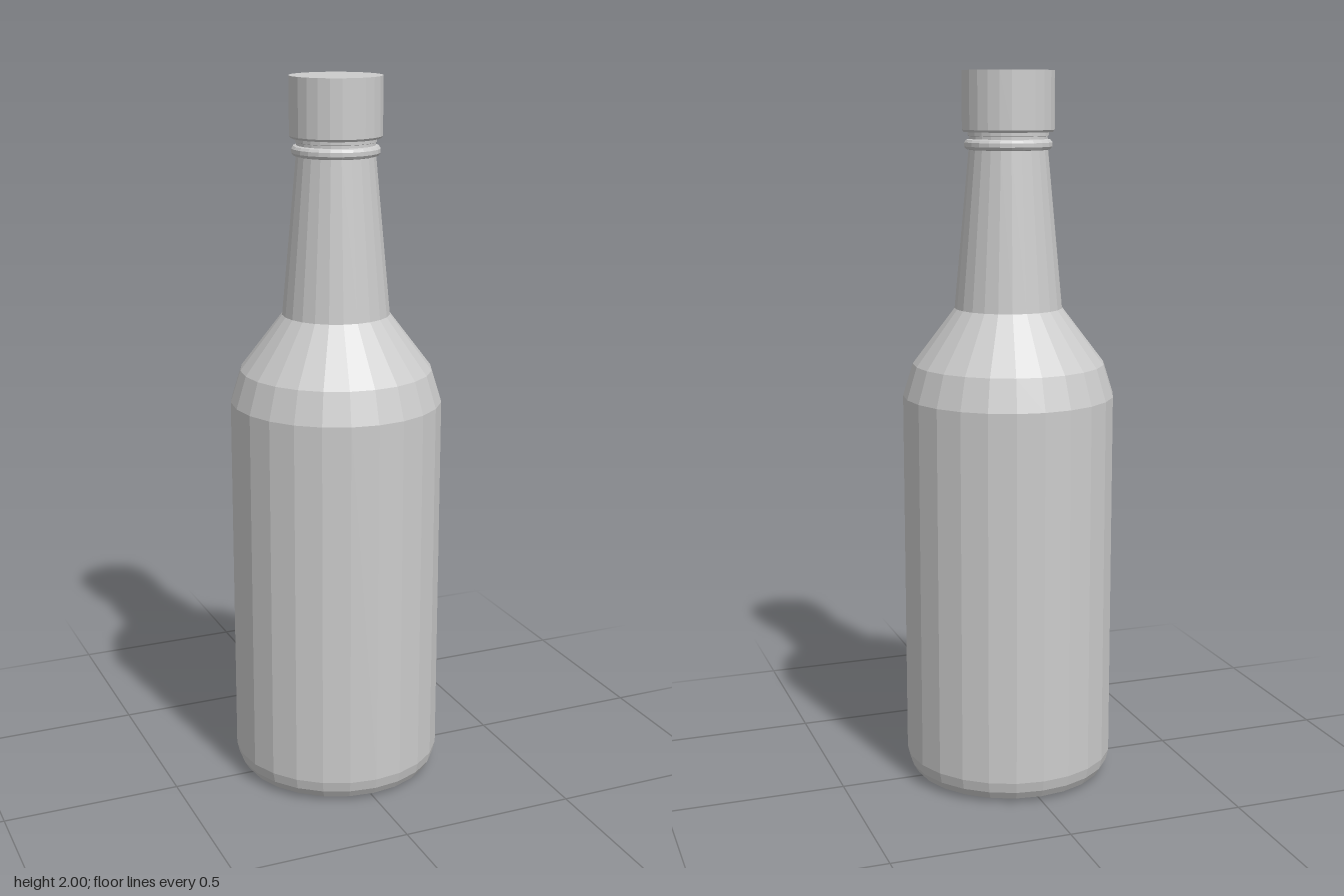
import * as THREE from 'three';

const SIDES = 24;

// Faceted solid of revolution from [radius, height] pairs, bottom to top
function turned(name, profile) {
  const points = profile.map(([r, y]) => new THREE.Vector2(r, y));
  const material = new THREE.MeshStandardMaterial({ color: 0xcccccc, flatShading: true });
  const mesh = new THREE.Mesh(new THREE.LatheGeometry(points, SIDES), material);
  mesh.name = name;
  return mesh;
}

export function createModel() {
  const bottle = new THREE.Group();
  bottle.name = 'bottle';

  // Body with rounded foot, sloped shoulder and tapering neck
  bottle.add(turned('glassBody', [
    [0, 0], [0.245, 0], [0.275, 0.012], [0.289, 0.035], [0.296, 0.065],
    [0.296, 1.11], [0.268, 1.2], [0.15, 1.355], [0.109, 1.79], [0.107, 1.845], [0, 1.845],
  ]));

  // Rounded collar ring below the cap
  bottle.add(turned('neckRing', [
    [0.105, 1.787], [0.116, 1.79], [0.121, 1.797], [0.121, 1.808], [0.116, 1.815], [0.105, 1.818],
  ]));

  // Thin lip between ring and cap
  bottle.add(turned('lip', [
    [0.1, 1.822], [0.111, 1.826], [0.111, 1.84], [0.1, 1.844],
  ]));

  // Screw cap
  bottle.add(turned('cap', [
    [0, 1.836], [0.122, 1.836], [0.127, 1.842], [0.127, 2], [0, 2],
  ]));

  return bottle;
}
